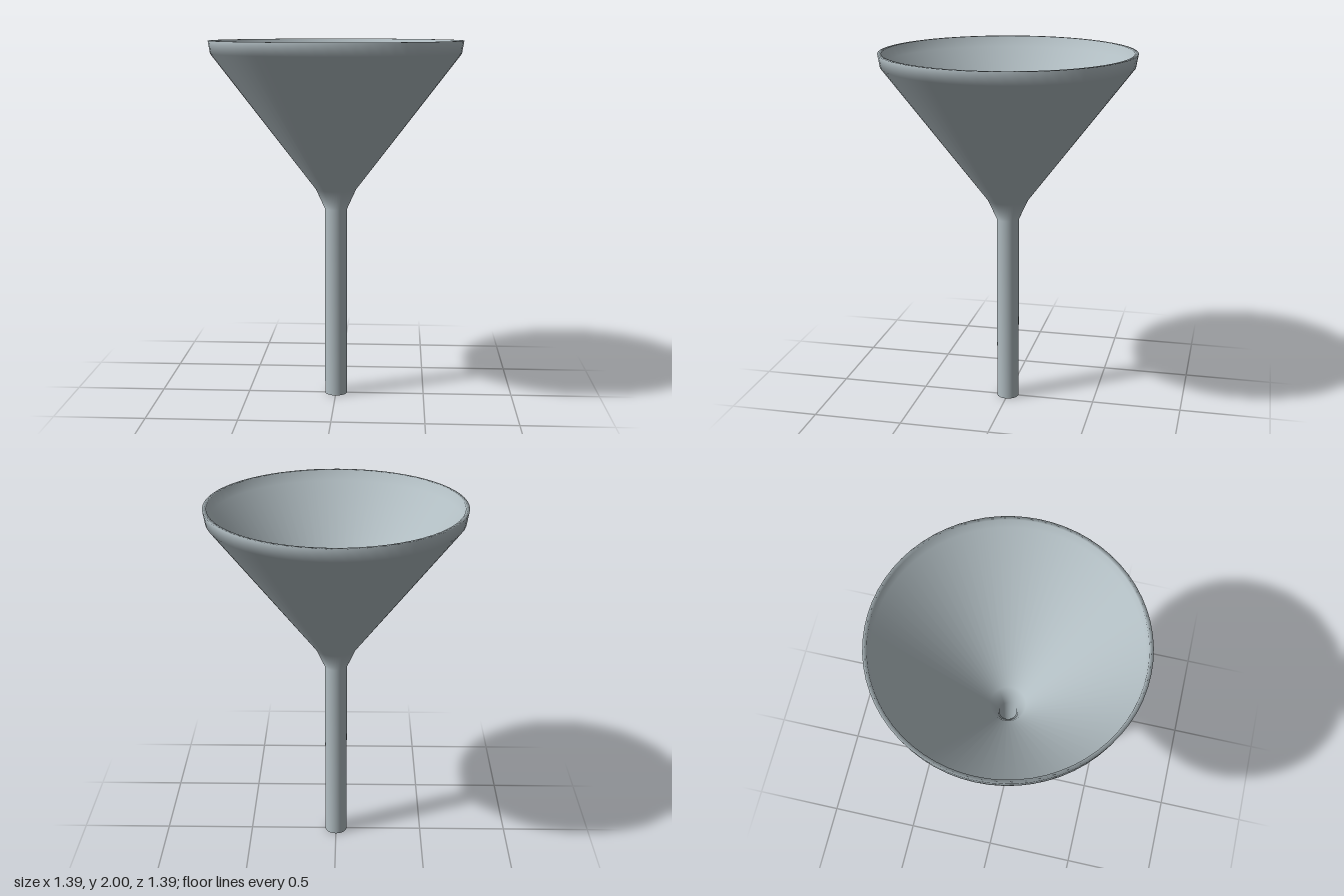
import * as THREE from 'three';

export function createModel() {
  const group = new THREE.Group();
  group.name = 'funnel';
  const metal = new THREE.MeshStandardMaterial({ color: 0xb2bec3 });
  metal.name = 'pale grey';

  const lathe = (name, points) => {
    const profile = points.map(([r, y]) => new THREE.Vector2(r, y));
    const mesh = new THREE.Mesh(new THREE.LatheGeometry(profile, 64), metal);
    mesh.name = name;
    group.add(mesh);
  };

  // Outer wall up the stem, flare, cone and rim, then down the inside
  lathe('funnelWall', [
    [0.062, 0], [0.062, 1.07], [0.112, 1.18], [0.685, 1.93], [0.697, 2],
    [0.676, 2], [0.667, 1.94], [0.098, 1.19], [0.048, 1.08], [0.048, 0],
  ]);

  // Flat ring closing the wall at the spout
  lathe('spoutEnd', [[0.048, 0], [0.062, 0]]);

  return group;
}
